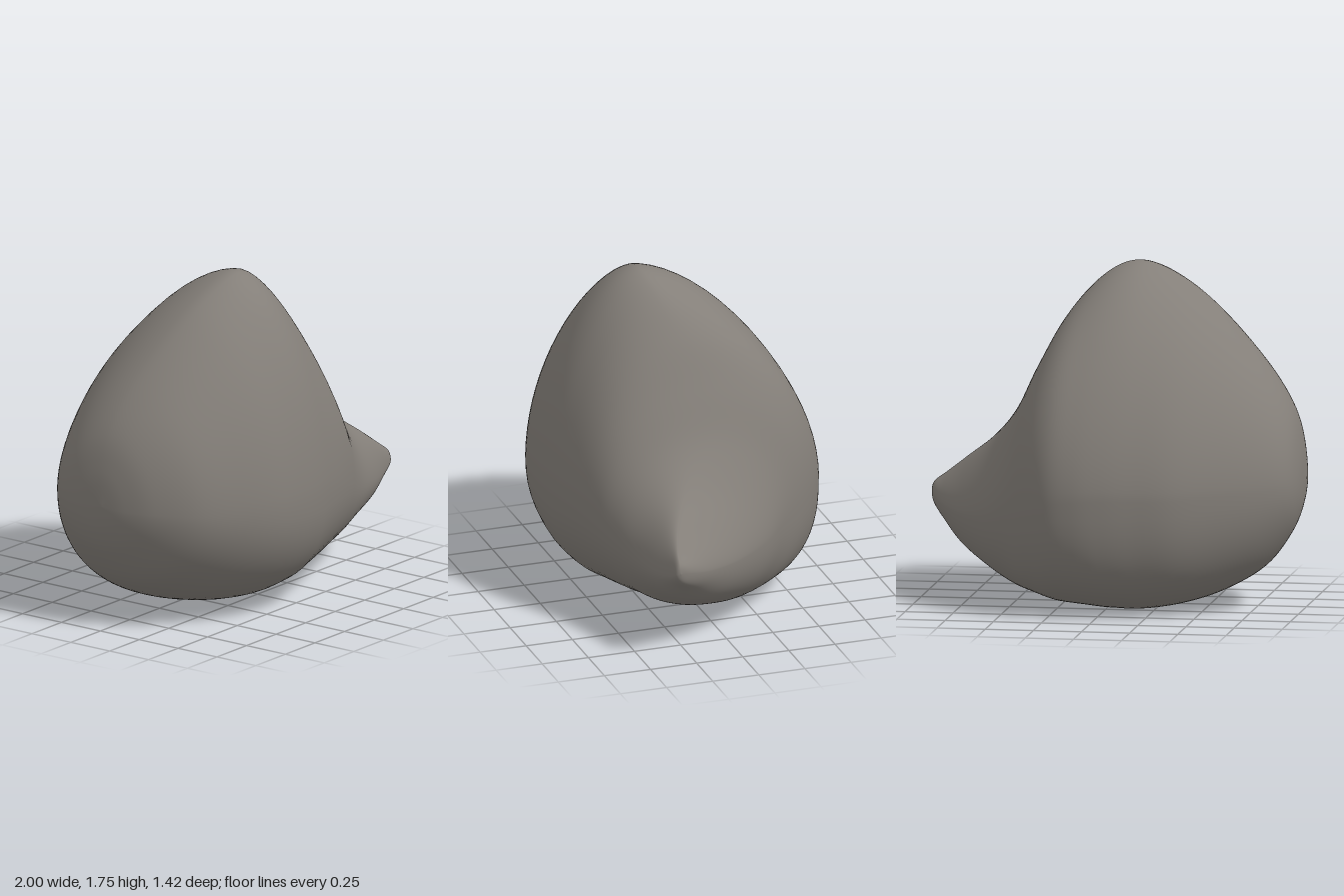
import * as THREE from 'three';

// Cross-sections from the rounded side to the snout tip:
// [x, top y, bottom y, back z, front z, z of the crest, y of the widest line, upper roundness]
const SECTIONS = [
  [-1.0, 0.67, 0.67, 0.0, 0.0, 0.0, 0.67, 2.0],
  [-0.985, 0.85, 0.53, -0.18, 0.14, 0.0, 0.66, 2.0],
  [-0.93, 1.04, 0.39, -0.31, 0.3, 0.01, 0.66, 1.95],
  [-0.8, 1.24, 0.22, -0.43, 0.48, 0.04, 0.65, 1.9],
  [-0.6, 1.46, 0.1, -0.555, 0.61, 0.1, 0.64, 1.82],
  [-0.4, 1.63, 0.035, -0.65, 0.69, 0.15, 0.63, 1.76],
  [-0.2, 1.735, 0.005, -0.69, 0.71, 0.18, 0.63, 1.74],
  [-0.05, 1.745, 0.01, -0.71, 0.7, 0.17, 0.63, 1.74],
  [0.1, 1.655, 0.025, -0.71, 0.665, 0.12, 0.62, 1.8],
  [0.25, 1.475, 0.04, -0.67, 0.62, 0.04, 0.6, 1.98],
  [0.38, 1.235, 0.07, -0.56, 0.57, 0.0, 0.56, 2.2],
  [0.5, 1.0, 0.1, -0.41, 0.515, 0.06, 0.51, 2.15],
  [0.64, 0.83, 0.17, -0.26, 0.46, 0.18, 0.46, 1.9],
  [0.8, 0.7, 0.265, -0.05, 0.415, 0.28, 0.45, 1.7],
  [0.92, 0.605, 0.38, 0.14, 0.375, 0.325, 0.47, 1.7],
  [0.985, 0.555, 0.45, 0.27, 0.358, 0.335, 0.5, 1.8],
  [1.0, 0.51, 0.51, 0.335, 0.335, 0.335, 0.51, 2.0],
];

// One smooth curve per column of the section list
const columns = SECTIONS[0].map((_, c) =>
  new THREE.SplineCurve(SECTIONS.map((row, i) => new THREE.Vector2(i, row[c]))));

const bend = (v, n) => Math.pow(Math.abs(v), 2 / n);

// Point on the skin: t runs along x, angle a runs round the section
function skinPoint(t, a) {
  const [x, top, bottom, back, front, crest, wide, round] = columns.map((c) => c.getPoint(t).y);
  const upper = Math.sin(a) >= 0;
  const facing = Math.cos(a) >= 0;
  // The back slopes straighter to the crest; the underside is fullest in the middle
  const n = upper ? round - (facing ? 0 : 0.14) : (facing ? 2.5 : 2.8) - 0.7 * Math.abs(x);
  const mid = upper ? crest : (back + front) / 2 - 0.06 * (front - back);
  const side = (facing ? front : back) - mid;
  const rise = (upper ? top : bottom) - wide;
  return [x, wide + rise * bend(Math.sin(a), n), mid + side * bend(Math.cos(a), n)];
}

function bodyGeometry(rings = 96, sides = 72) {
  const positions = [];
  const index = [];
  for (let i = 1; i < rings; i++) {
    for (let j = 0; j < sides; j++) {
      positions.push(...skinPoint(i / rings, (j / sides) * Math.PI * 2));
    }
  }
  const at = (i, j) => i * sides + (j % sides);
  for (let i = 0; i < rings - 2; i++) {
    for (let j = 0; j < sides; j++) {
      const a = at(i, j), b = at(i + 1, j), c = at(i, j + 1), d = at(i + 1, j + 1);
      index.push(a, b, c, b, d, c);
    }
  }
  // Close both ends with a single point
  const start = positions.length / 3;
  positions.push(...skinPoint(0, 0), ...skinPoint(1, 0));
  for (let j = 0; j < sides; j++) {
    index.push(start, at(0, j), at(0, j + 1));
    index.push(start + 1, at(rings - 2, j + 1), at(rings - 2, j));
  }
  const geometry = new THREE.BufferGeometry();
  geometry.setAttribute('position', new THREE.Float32BufferAttribute(positions, 3));
  geometry.setIndex(index);
  geometry.computeVertexNormals();
  return geometry;
}

export function createModel() {
  const group = new THREE.Group();
  group.name = 'pointedBoulder';
  // Rounded body drawn out into a snout on one side
  const body = new THREE.Mesh(bodyGeometry(), new THREE.MeshStandardMaterial({ color: 0x847f79 }));
  body.name = 'body';
  group.add(body);
  return group;
}
